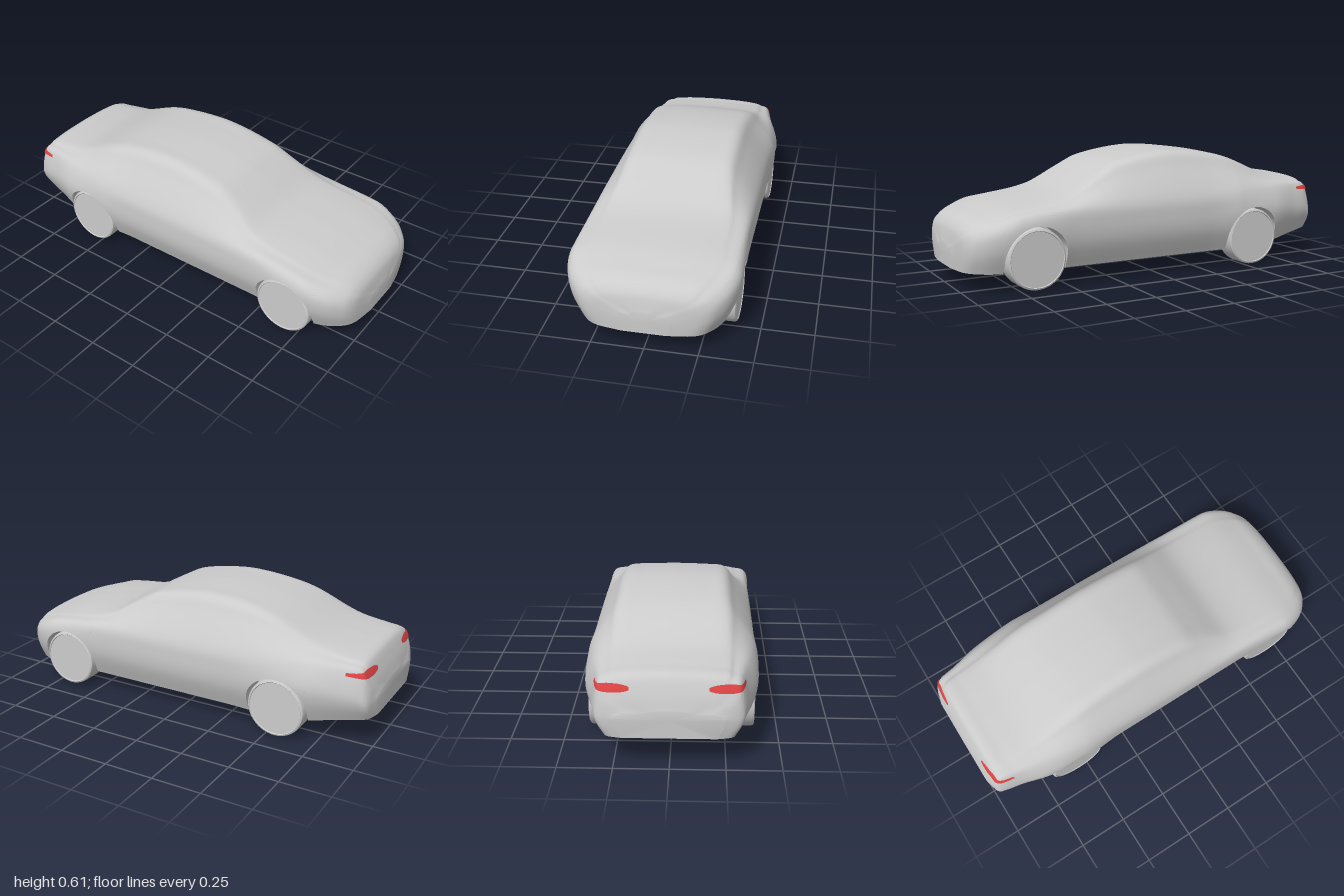
import * as THREE from 'three';
import { toCreasedNormals } from 'three/addons/utils/BufferGeometryUtils.js';

const WHEEL_X = [-0.55, 0.67], ARCH_R = 0.155, ARCH_Y = 0.15, WELL_Z = 0.28;

// Stations along the car, tail to nose:
// x, top y, roof half width, shoulder z, shoulder y, belt z, belt y
const STATIONS = [
  [-1, 0.285, 0.12, 0.2, 0.27, 0.24, 0.25],
  [-0.98, 0.35, 0.2, 0.285, 0.31, 0.31, 0.25],
  [-0.94, 0.428, 0.24, 0.31, 0.385, 0.335, 0.28],
  [-0.85, 0.445, 0.25, 0.325, 0.395, 0.355, 0.29],
  [-0.7, 0.475, 0.25, 0.355, 0.4, 0.395, 0.3],
  [-0.47, 0.565, 0.255, 0.385, 0.4, 0.41, 0.3],
  [-0.3, 0.6, 0.25, 0.385, 0.39, 0.4, 0.3],
  [-0.1, 0.613, 0.25, 0.385, 0.39, 0.4, 0.3],
  [0.18, 0.572, 0.25, 0.385, 0.385, 0.4, 0.3],
  [0.3, 0.515, 0.26, 0.385, 0.38, 0.4, 0.3],
  [0.46, 0.43, 0.285, 0.385, 0.37, 0.4, 0.3],
  [0.75, 0.378, 0.29, 0.385, 0.345, 0.41, 0.29],
  [0.85, 0.352, 0.27, 0.36, 0.315, 0.388, 0.27],
  [0.93, 0.325, 0.23, 0.31, 0.28, 0.335, 0.24],
  [0.98, 0.275, 0.18, 0.235, 0.24, 0.255, 0.2],
  [1, 0.2, 0.06, 0.1, 0.185, 0.12, 0.16],
];

const mix = THREE.MathUtils.lerp;

// Smooth interpolation of all station values at x
function stationAt(x) {
  const S = STATIONS, last = S.length - 1;
  let i = 0;
  while (i < last - 1 && x > S[i + 1][0]) i++;
  const h = S[i + 1][0] - S[i][0], u = (x - S[i][0]) / h;
  const slope = (k, c) => {
    const a = S[Math.max(k - 1, 0)], b = S[Math.min(k + 1, last)];
    return (b[c] - a[c]) / (b[0] - a[0]);
  };
  return S[i].map((p, c) => {
    const d = S[i + 1][c] - p;
    // limited slopes avoid overshoot between uneven stations
    const limit = (m) => (m * d <= 0 ? 0 : Math.sign(d) * Math.min(Math.abs(m), 3 * Math.abs(d) / h));
    const m0 = limit(slope(i, c)) * h, m1 = limit(slope(i + 1, c)) * h;
    return p + u * (m0 + u * (3 * d - 2 * m0 - m1 + u * (m0 + m1 - 2 * d)));
  });
}

// Half cross-section from sill to roof centre, as a curve in (z, y)
function sectionAt(x) {
  const [, top, wr, ws, ys, w, yw] = stationAt(x);
  const corner = top - 0.014;
  // the sill tucks in and rises behind the rear wheels
  const wb = w * 0.87, bot = 0.087 + 0.165 * Math.max(0, -0.6 - x);
  return new THREE.SplineCurve([
    [wb, bot], [mix(wb, w, 0.83), mix(bot, yw, 0.53)], [w, yw], [ws, ys],
    [mix(wr, ws, 0.4), mix(corner, ys, 0.35)], [wr, corner], [wr * 0.6, top - 0.004], [0, top],
  ].map(([z, y]) => new THREE.Vector2(z, y)));
}

function bisect(f, lo, hi) {
  for (let i = 0; i < 30; i++) {
    const m = (lo + hi) / 2;
    if (f(m) < 0) lo = m; else hi = m;
  }
  return (lo + hi) / 2;
}

// Closed ring of points around the body at x, with the wheel well cut in if arch > 0
function ringAt(x, arch) {
  const curve = sectionAt(x), sill = curve.getPoint(0), N = 42, split = 3 / 7;
  const inner = Math.min(WELL_Z, sill.x * 0.8), edge = Math.max(arch, sill.y);
  const t0 = arch > 0 ? bisect((t) => curve.getPoint(t).y - edge, 0, split) : 0;
  const half = [[0, sill.y], [inner, sill.y], [inner, edge]];
  for (let j = 0; j <= N; j++) {
    const t = j / N, p = curve.getPoint(t < split ? mix(t0, split, t / split) : t);
    half.push([p.x, p.y]);
  }
  const other = half.slice(0, -1).reverse().map(([z, y]) => [-z, y]);
  return [...half, ...other].map(([z, y]) => new THREE.Vector3(x, y, z));
}

function bodyGeometry() {
  // Columns: dense at both ends, plus a set following each wheel arch
  const columns = [];
  for (let i = 0; i <= 110; i++) {
    const x = -Math.cos((Math.PI * i) / 110);
    if (WHEEL_X.every((c) => Math.abs(x - c) > ARCH_R + 0.003)) columns.push([x, 0]);
  }
  for (const c of WHEEL_X) {
    columns.push([c - ARCH_R, 0]);
    for (let i = 0; i <= 28; i++) {
      const a = (Math.PI * i) / 28;
      columns.push([c - ARCH_R * Math.cos(a), ARCH_Y + ARCH_R * Math.sin(a)]);
    }
    columns.push([c + ARCH_R, 0]);
  }
  columns.sort((a, b) => a[0] - b[0]);
  const rings = columns.map(([x, arch]) => ringAt(x, arch));
  // Close tail and nose
  const cap = (ring, y) => ring.map((p) => new THREE.Vector3(p.x, y, 0));
  rings.unshift(cap(rings[0], 0.24));
  rings.push(cap(rings[rings.length - 1], 0.14));

  const pos = [], tri = new THREE.Triangle();
  const add = (a, b, c) => {
    if (tri.set(a, b, c).getArea() > 1e-9) for (const p of [a, b, c]) pos.push(p.x, p.y, p.z);
  };
  for (let i = 0; i < rings.length - 1; i++) {
    for (let j = 0; j < rings[i].length - 1; j++) {
      const a = rings[i][j], b = rings[i + 1][j], c = rings[i + 1][j + 1], d = rings[i][j + 1];
      add(a, b, c);
      add(a, c, d);
    }
  }
  const geo = new THREE.BufferGeometry();
  geo.setAttribute('position', new THREE.Float32BufferAttribute(pos, 3));
  return toCreasedNormals(geo, 0.6);
}

// Lens-shaped strip that follows the body around the rear corner
function tailLightGeometry(side) {
  const zAt = (x, y) => {
    const curve = sectionAt(x);
    return curve.getPoint(bisect((t) => curve.getPoint(t).y - y, 0.1, 1)).x;
  };
  const geo = new THREE.PlaneGeometry(1, 1, 20, 4), p = geo.attributes.position;
  for (let k = 0; k < p.count; k++) {
    const u = p.getX(k) + 0.5, v = p.getY(k);
    const y = 0.376 + v * 0.038 * Math.sqrt(Math.sin(Math.PI * mix(0.04, 0.96, u)));
    const z = mix(0.17, zAt(-0.87, y), u);
    const x = bisect((s) => zAt(s, y) - z, -0.99, -0.865);
    p.setXYZ(k, x - 0.004, y, side * (z + 0.003));
  }
  geo.computeVertexNormals();
  return geo;
}

export function createModel() {
  const car = new THREE.Group();
  car.name = 'car';
  const grey = new THREE.MeshStandardMaterial({ color: 0xcccccc });
  const red = new THREE.MeshStandardMaterial({ color: 0xdd4444, side: THREE.DoubleSide });
  const addMesh = (name, geo, mat) => {
    const mesh = new THREE.Mesh(geo, mat);
    mesh.name = name;
    car.add(mesh);
    return mesh;
  };

  addMesh('body', bodyGeometry(), grey);

  // Wheels: plain discs with a rounded outer shoulder
  const profile = [[0, -0.053], [0.146, -0.053], [0.146, 0.04], [0.143, 0.049], [0.135, 0.053], [0.132, 0.049], [0, 0.049]];
  const wheelGeo = toCreasedNormals(
    new THREE.LatheGeometry(profile.map(([r, h]) => new THREE.Vector2(r, h)), 48), 0.6);
  for (const side of [1, -1]) {
    WHEEL_X.forEach((x, i) => {
      const wheel = addMesh((i ? 'front' : 'rear') + 'Wheel', wheelGeo, grey);
      wheel.position.set(x, 0.146, side * 0.336);
      wheel.rotation.x = (side * Math.PI) / 2;
    });
    addMesh('tailLight', tailLightGeometry(side), red);
  }
  return car;
}
